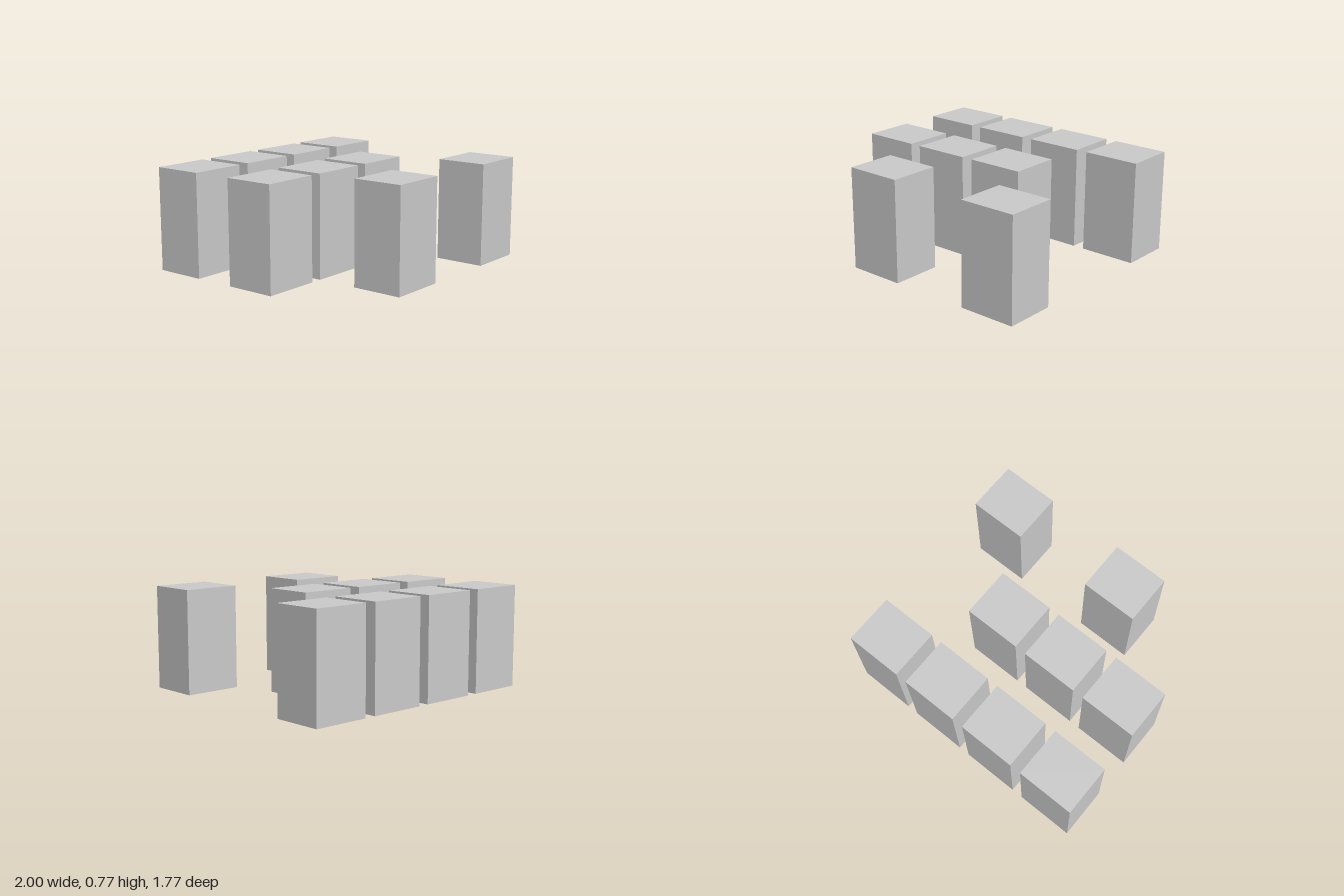
import * as THREE from 'three';

// Block size and grid spacing
const WIDTH = 0.435, HEIGHT = 0.77, DEPTH = 0.385;
const PITCH_X = 0.5217, PITCH_Z = 0.693;

// Occupied columns of each row, back to front
const ROWS = [
  { name: 'backBlock', columns: [0, 1, 2, 3] },
  { name: 'middleBlock', columns: [0, 1, 2] },
  { name: 'frontBlock', columns: [1, 3] },
];

export function createModel() {
  const model = new THREE.Group();
  model.name = 'blockGrid';
  const material = new THREE.MeshStandardMaterial({ color: 0xcccccc });
  const geometry = new THREE.BoxGeometry(WIDTH, HEIGHT, DEPTH);

  // One upright block per occupied grid cell
  ROWS.forEach(({ name, columns }, row) => {
    for (const column of columns) {
      const block = new THREE.Mesh(geometry, material);
      block.name = `${name}${column + 1}`;
      block.position.set((column - 1.5) * PITCH_X, HEIGHT / 2, (row - 1) * PITCH_Z);
      model.add(block);
    }
  });
  return model;
}
